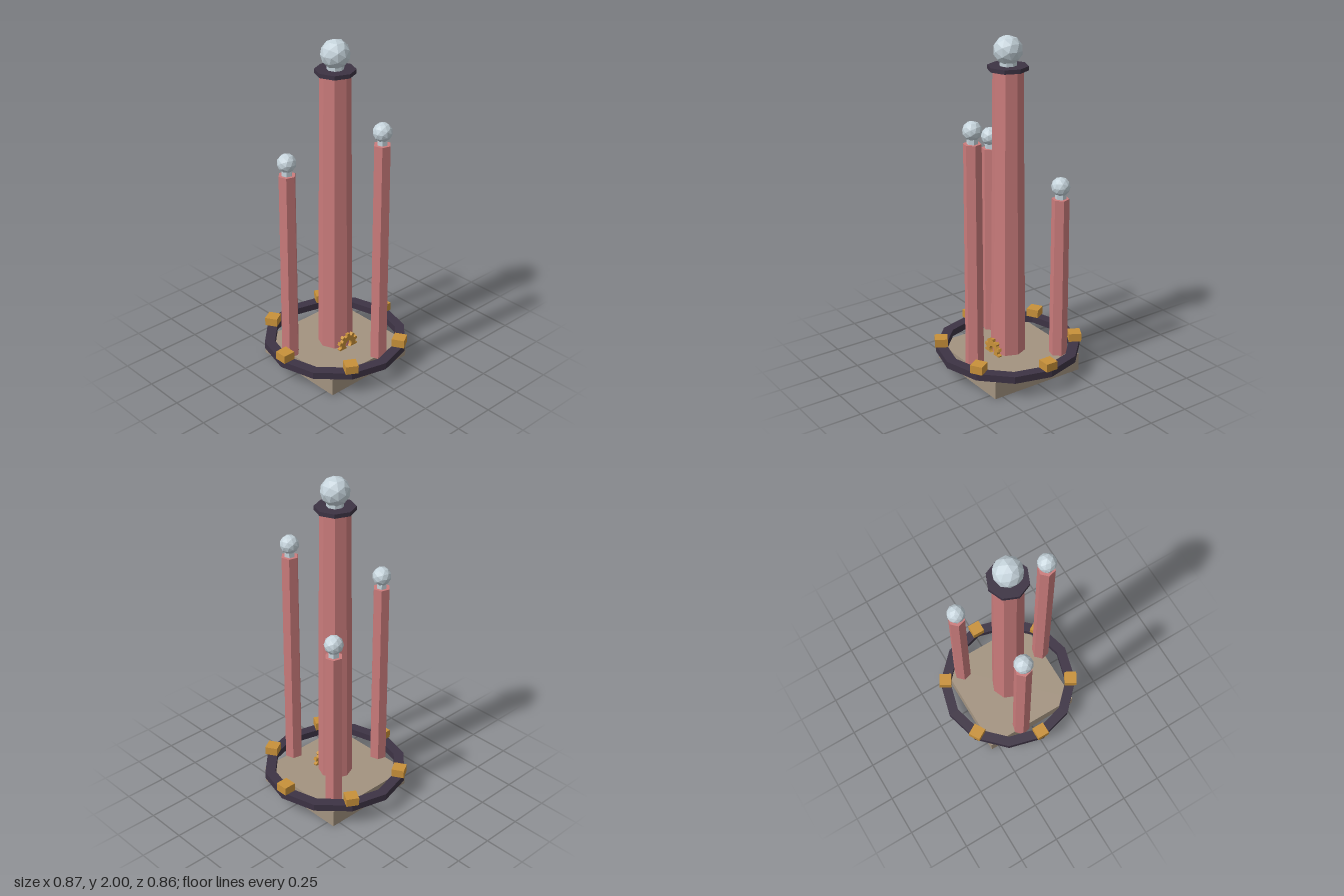
import * as THREE from 'three';

const mat = (color) => new THREE.MeshStandardMaterial({ color, flatShading: true });

export function createModel() {
  const model = new THREE.Group();
  model.name = 'towerMonument';

  const stone = mat(0xa39380);
  const rose = mat(0xcb7c7c);
  const dark = mat(0x3d3344);
  const gold = mat(0xc8913a);
  const silver = mat(0xc6d4dc);

  const BASE_TOP = 0.105;
  const RING_TOP = 0.147;

  function add(name, geometry, material, x = 0, y = 0, z = 0, parent = model) {
    const mesh = new THREE.Mesh(geometry, material);
    mesh.name = name;
    mesh.position.set(x, y, z);
    parent.add(mesh);
    return mesh;
  }

  // Tapered prism standing between two heights
  function prism(name, rTop, rBottom, y0, y1, sides, material, parent) {
    const geo = new THREE.CylinderGeometry(rTop, rBottom, y1 - y0, sides);
    return add(name, geo, material, 0, (y0 + y1) / 2, 0, parent);
  }

  // Square base
  add('base', new THREE.BoxGeometry(0.6, BASE_TOP, 0.6), stone, 0, BASE_TOP / 2, 0);

  // Twelve-sided ring with a rectangular section
  const section = [[0.43, BASE_TOP], [0.43, RING_TOP], [0.368, RING_TOP], [0.368, BASE_TOP], [0.43, BASE_TOP]];
  add('ring', new THREE.LatheGeometry(section.map(([r, y]) => new THREE.Vector2(r, y)), 12), dark);

  // Six blocks on the ring
  for (let i = 0; i < 6; i++) {
    const a = Math.PI / 2 + (i * Math.PI) / 3;
    const block = add('ringBlock', new THREE.BoxGeometry(0.075, 0.05, 0.075), gold,
      0.397 * Math.sin(a), RING_TOP + 0.025, 0.397 * Math.cos(a));
    block.rotation.y = a;
  }

  // Central column with cap, neck and ball
  prism('mainColumn', 0.087, 0.103, BASE_TOP, 1.808, 8, rose);
  prism('mainCap', 0.115, 0.115, 1.808, 1.832, 8, dark);
  prism('mainNeck', 0.048, 0.048, 1.832, 1.87, 8, silver);
  add('mainBall', new THREE.IcosahedronGeometry(0.083, 1), silver, 0, 1.917, 0);

  // Three lesser pillars spaced evenly around the column
  [1.46, 1.077, 1.268].forEach((top, i) => {
    const a = THREE.MathUtils.degToRad(15 + i * 120);
    const pillar = new THREE.Group();
    pillar.name = 'sidePillar';
    pillar.position.set(0.3 * Math.sin(a), 0, 0.3 * Math.cos(a));
    pillar.rotation.y = a;
    model.add(pillar);
    prism('pillarShaft', 0.051, 0.054, BASE_TOP, top, 6, rose, pillar);
    prism('pillarNeck', 0.032, 0.032, top, top + 0.045, 6, silver, pillar);
    add('pillarBall', new THREE.IcosahedronGeometry(0.055, 1), silver, 0, top + 0.072, 0, pillar);
  });

  // Gear at the foot of the column, partly sunk in the base
  const teeth = 10;
  const outline = [];
  for (let i = 0; i < teeth; i++) {
    [[-0.3, 0.055], [-0.2, 0.072], [0.2, 0.072], [0.3, 0.055]].forEach(([t, r]) => {
      const a = ((i + t) / teeth) * Math.PI * 2;
      outline.push(new THREE.Vector2(r * Math.sin(a), r * Math.cos(a)));
    });
  }
  const gear = new THREE.Shape(outline);
  gear.holes.push(new THREE.Path().absarc(0, 0, 0.025, 0, Math.PI * 2));
  add('gear', new THREE.ExtrudeGeometry(gear, { depth: 0.022, bevelEnabled: false, curveSegments: 8 }),
    gold, 0, 0.127, 0.095);

  return model;
}
